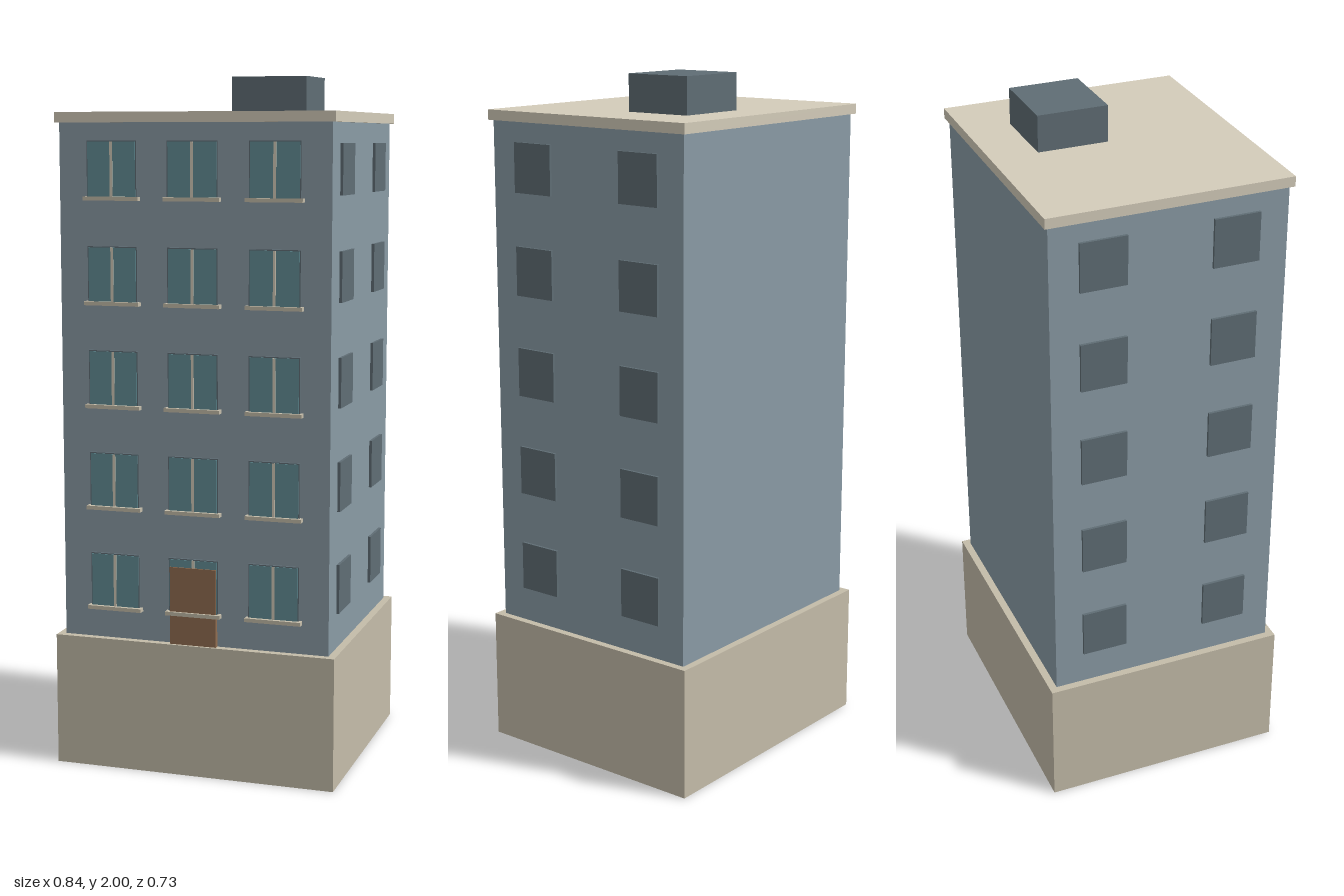
import * as THREE from 'three';

const paint = (color) => new THREE.MeshStandardMaterial({ color });

export function createModel() {
  const model = new THREE.Group();
  model.name = 'apartmentBlock';

  const wall = paint(0x8a9ba5);
  const stone = paint(0xc4bca9);
  const roofing = paint(0xd4ccba);
  const slate = paint(0x5f6d74);
  const glass = paint(0x628e96);
  const wood = paint(0x916d50);

  // Box given by its low and high corners
  function block(name, material, [x0, y0, z0], [x1, y1, z1], parent = model) {
    const mesh = new THREE.Mesh(new THREE.BoxGeometry(x1 - x0, y1 - y0, z1 - z0), material);
    mesh.position.set((x0 + x1) / 2, (y0 + y1) / 2, (z0 + z1) / 2);
    mesh.name = name;
    parent.add(mesh);
    return mesh;
  }

  // Main masses
  block('plinth', stone, [-0.419, 0, -0.363], [0.419, 0.387, 0.363]);
  block('walls', wall, [-0.397, 0.387, -0.341], [0.397, 1.866, 0.341]);
  block('roofSlab', roofing, [-0.408, 1.866, -0.352], [0.408, 1.895, 0.352]);
  block('roofHut', slate, [0, 1.895, -0.217], [0.225, 2, -0.013]);

  // Front window: frame, pane, mullion and sill
  function frontWindow(x, y) {
    const unit = new THREE.Group();
    unit.name = 'frontWindow';
    unit.position.set(x, y, 0.341);
    block('frame', slate, [-0.074, -0.08, -0.005], [0.074, 0.08, 0.008], unit);
    block('pane', glass, [-0.071, -0.077, 0], [0.071, 0.077, 0.01], unit);
    block('mullion', roofing, [-0.004, -0.077, 0], [0.004, 0.077, 0.012], unit);
    block('sill', stone, [-0.082, -0.086, -0.005], [0.082, -0.075, 0.021], unit);
    model.add(unit);
  }

  // Five storeys: three windows in front, two on each side
  for (let floor = 0; floor < 5; floor++) {
    const y = 0.558 + floor * 0.2945;
    for (const x of [-0.238, 0, 0.238]) frontWindow(x, y);
    for (const side of [-1, 1]) {
      for (const z of [-0.19, 0.19]) {
        const mesh = block('sideWindow', slate, [-0.008, -0.071, -0.067], [0.008, 0.071, 0.067]);
        mesh.position.set(side * 0.397, y + 0.002, z);
      }
    }
  }

  // Entrance door
  block('door', wood, [-0.069, 0.387, 0.335], [0.069, 0.613, 0.355]);

  return model;
}
